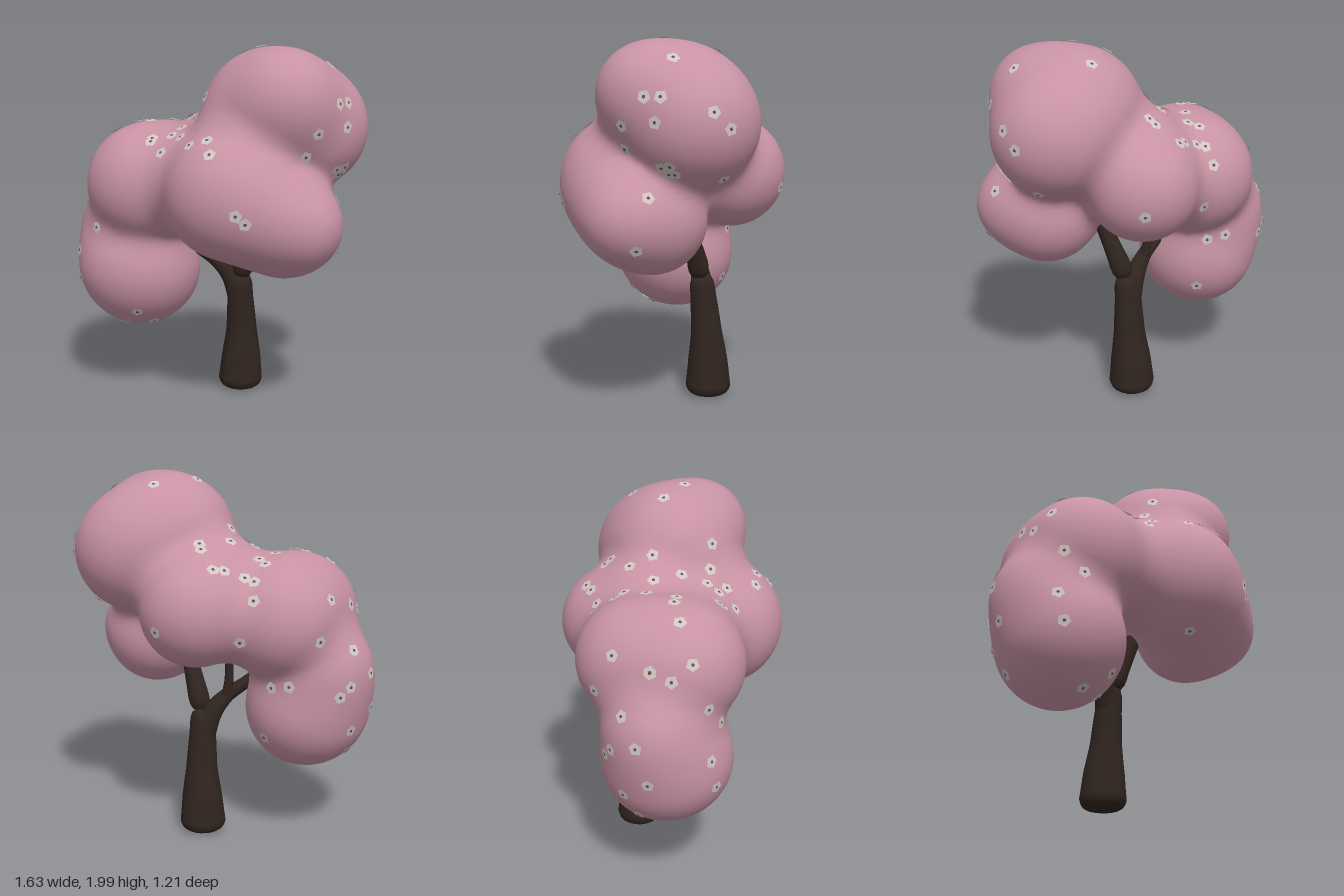
import * as THREE from 'three';
import { mergeGeometries } from 'three/addons/utils/BufferGeometryUtils.js';

// Foliage blobs: x, y, z, radius
const BLOBS = [
  [0.27, 1.61, -0.11, 0.365], [0.365, 1.555, -0.27, 0.335], [0.46, 1.71, -0.04, 0.245], // crown
  [0.28, 1.23, 0.175, 0.355], [0.43, 1.065, -0.055, 0.29], [0.605, 1.08, 0.0, 0.21],    // front left
  [0.45, 1.15, 0.12, 0.25], [0.22, 1.46, 0.04, 0.24],                                   // left fillers
  [-0.32, 1.22, 0.275, 0.335], [-0.38, 1.22, 0.06, 0.325],                              // front right
  [-0.04, 1.26, 0.16, 0.285], [-0.06, 1.4, -0.08, 0.25],                                // middle fillers
  [-0.08, 1.27, -0.265, 0.3],                                                           // back
  [-0.43, 0.75, 0.295, 0.31], [-0.43, 0.71, 0.22, 0.31], [-0.535, 0.94, 0.255, 0.265],  // low right
];
const BLEND = 0.12;

// Smoothly blended distance to all blobs
function field(x, y, z) {
  let d = 10;
  for (const [bx, by, bz, r] of BLOBS) {
    const s = Math.hypot(x - bx, y - by, z - bz) - r;
    const h = Math.max(BLEND - Math.abs(d - s), 0) / BLEND;
    d = Math.min(d, s) - h * h * BLEND / 4;
  }
  return d;
}

function normalAt({ x, y, z }) {
  const e = 0.004;
  return new THREE.Vector3(
    field(x + e, y, z) - field(x - e, y, z),
    field(x, y + e, z) - field(x, y - e, z),
    field(x, y, z + e) - field(x, y, z - e)).normalize();
}

// Skin the blended field with one vertex per crossed grid cell
function foliageGeometry() {
  const step = 0.03, min = [-0.96, 0.27, -0.78], n = [64, 62, 52];
  const stride = [1, n[0], n[0] * n[1]];
  const values = new Float32Array(n[0] * n[1] * n[2]);
  const at = (i, j, k) => i + j * stride[1] + k * stride[2];
  const eachCell = (from, fn) => {
    for (let k = from; k < n[2] - 1; k++)
      for (let j = from; j < n[1] - 1; j++)
        for (let i = from; i < n[0] - 1; i++) fn(i, j, k, at(i, j, k));
  };
  for (let k = 0; k < n[2]; k++)
    for (let j = 0; j < n[1]; j++)
      for (let i = 0; i < n[0]; i++)
        values[at(i, j, k)] = field(min[0] + i * step, min[1] + j * step, min[2] + k * step);

  const cellVertex = new Map(), positions = [], normals = [], indices = [];
  eachCell(0, (i, j, k, id) => {
    const sum = new THREE.Vector3();
    let count = 0;
    for (let c = 0; c < 8; c++) {
      const corner = [c & 1, (c >> 1) & 1, c >> 2];
      const a = values[id + at(...corner)];
      for (let axis = 0; axis < 3; axis++) {
        if (corner[axis]) continue;
        const b = values[id + at(...corner) + stride[axis]];
        if ((a < 0) === (b < 0)) continue;
        const p = corner.slice();
        p[axis] = a / (a - b);
        sum.add(new THREE.Vector3(...p));
        count++;
      }
    }
    if (!count) return;
    const p = sum.divideScalar(count).add(new THREE.Vector3(i, j, k))
      .multiplyScalar(step).add(new THREE.Vector3(...min));
    for (let s = 0; s < 2; s++) p.addScaledVector(normalAt(p), -field(p.x, p.y, p.z));
    cellVertex.set(id, positions.length / 3);
    positions.push(p.x, p.y, p.z);
    normals.push(...normalAt(p).toArray());
  });
  eachCell(1, (i, j, k, id) => {
    for (let axis = 0; axis < 3; axis++) {
      const inside = values[id] < 0;
      if (inside === values[id + stride[axis]] < 0) continue;
      const u = stride[(axis + 1) % 3], v = stride[(axis + 2) % 3];
      const q = [id - u - v, id - v, id, id - u].map((c) => cellVertex.get(c));
      if (!inside) q.reverse();
      indices.push(q[0], q[1], q[2], q[0], q[2], q[3]);
    }
  });
  const geometry = new THREE.BufferGeometry();
  geometry.setAttribute('position', new THREE.Float32BufferAttribute(positions, 3));
  geometry.setAttribute('normal', new THREE.Float32BufferAttribute(normals, 3));
  geometry.setIndex(indices);
  return geometry;
}

// Rounded tapering limb; each point is x, y, z, radius
function limb(name, points, material) {
  const curve = new THREE.CatmullRomCurve3(points.map((p) => new THREE.Vector3(...p)), false, 'centripetal');
  const rings = 64, sides = 20;
  const geometry = new THREE.TubeGeometry(curve, rings, 1, sides);
  const pos = geometry.attributes.position, v = new THREE.Vector3();
  for (let i = 0; i <= rings; i++) {
    const t = curve.getUtoTmapping(i / rings) * (points.length - 1);
    const a = Math.min(Math.floor(t), points.length - 2);
    const r = THREE.MathUtils.lerp(points[a][3], points[a + 1][3], t - a);
    const centre = curve.getPointAt(i / rings);
    for (let j = 0; j <= sides; j++) {
      const id = i * (sides + 1) + j;
      v.fromBufferAttribute(pos, id).sub(centre).multiplyScalar(r).add(centre);
      pos.setXYZ(id, v.x, v.y, v.z);
    }
  }
  geometry.computeVertexNormals();
  const mesh = new THREE.Mesh(geometry, material);
  mesh.name = name;
  return mesh;
}

// Blossom spots as pairs of coordinates, dropped onto the foliage from each side
const SPOTS = {
  front: [0.12, 1.72, 0.06, 1.6, -0.02, 1.51, 0.06, 1.51, 0, 1.43, 0.24, 1.49, 0.33, 1.52, 0.4, 1.46,
    -0.12, 1.49, -0.56, 1.34, -0.63, 1.26, -0.51, 1.1, -0.41, 0.99, -0.55, 0.84, -0.52, 0.69,
    0.57, 1.18, 0.6, 1.14, 0.28, 0.9, -0.36, 0.44, -0.22, 0.53],
  top: [0.18, -0.31, 0.56, -0.25, 0.1, -0.07, 0.27, -0.04, -0.26, -0.33, -0.29, -0.28, -0.14, -0.29,
    -0.11, -0.27, -0.36, -0.2, -0.41, -0.18, -0.45, -0.23, -0.18, -0.11, -0.39, -0.07, -0.33, -0.05,
    -0.33, 0.08, -0.21, 0.05, -0.1, -0.02, -0.08, 0.14, -0.02, 0.26, -0.38, 0.27,
    -0.32, 0.25, -0.48, 0.36, -0.66, 0.3, -0.11, 0.4],
  left: [-0.17, 1.7, -0.25, 1.7, -0.23, 1.58, -0.04, 1.56, -0.02, 1.44, -0.49, 1.63,
    -0.55, 1.55, -0.23, 1.36, -0.28, 1.37, -0.26, 1.33, -0.29, 1.33, -0.18, 1.21,
    -0.14, 0.96, 0.3, 0.45],
  right: [0.1, 1.35, 0.3, 1.3, 0, 1.15, 0.2, 1.08, 0.3, 0.95, 0.15, 0.9, 0.35, 0.75, 0.2, 0.65,
    0.1, 0.85, 0.25, 0.52],
  back: [-0.08, 1.2, 0.45, 1.3, -0.55, 0.9, -0.45, 0.88, -0.4, 0.6, -0.4, 1.15],
};
const RAYS = {
  front: (a, b) => [a, b, 2, 0, 0, -1],
  top: (a, b) => [a, 3, b, 0, -1, 0],
  left: (a, b) => [2, b, a, -1, 0, 0],
  right: (a, b) => [-2, b, a, 1, 0, 0],
  back: (a, b) => [a, b, -2, 0, 0, 1],
};

function blossoms() {
  const petals = [], hearts = [], forward = new THREE.Vector3(0, 0, 1);
  for (const side in SPOTS) {
    for (let i = 0; i < SPOTS[side].length; i += 2) {
      const [x, y, z, dx, dy, dz] = RAYS[side](SPOTS[side][i], SPOTS[side][i + 1]);
      const p = new THREE.Vector3(x, y, z), dir = new THREE.Vector3(dx, dy, dz);
      for (let s = 0; s < 120; s++) p.addScaledVector(dir, field(p.x, p.y, p.z) * 0.8);
      if (Math.abs(field(p.x, p.y, p.z)) > 0.01) continue;
      const normal = normalAt(p);
      const turn = new THREE.Quaternion().setFromUnitVectors(forward, normal);
      const place = (radius, sides, lift) => new THREE.CircleGeometry(radius, sides)
        .rotateZ(i * 1.3).applyQuaternion(turn)
        .translate(...p.clone().addScaledVector(normal, lift).toArray());
      petals.push(place(0.035, 5, 0.008));
      hearts.push(place(0.009, 6, 0.011));
    }
  }
  const build = (name, parts, color) => {
    const mesh = new THREE.Mesh(mergeGeometries(parts),
      new THREE.MeshStandardMaterial({ color, side: THREE.DoubleSide }));
    mesh.name = name;
    return mesh;
  };
  const group = new THREE.Group();
  group.name = 'blossoms';
  group.add(build('petals', petals, 0xd0c6c6), build('blossomHearts', hearts, 0x6b4a3c));
  return group;
}

export function createModel() {
  const tree = new THREE.Group();
  tree.name = 'blossomTree';
  const bark = new THREE.MeshStandardMaterial({ color: 0x30241f });

  // Trunk and branches
  tree.add(
    limb('trunk', [[-0.03, 0.0, -0.165, 0.001], [-0.03, 0.008, -0.165, 0.09], [-0.03, 0.025, -0.165, 0.115],
      [-0.03, 0.06, -0.165, 0.127], [-0.025, 0.2, -0.165, 0.112], [-0.017, 0.36, -0.16, 0.088],
      [-0.01, 0.55, -0.145, 0.074], [-0.003, 0.64, -0.138, 0.068], [0.002, 0.68, -0.135, 0.054],
      [0.005, 0.7, -0.135, 0.001]], bark),
    limb('leftBranch', [[0.015, 0.685, -0.13, 0.001], [0.016, 0.69, -0.13, 0.04], [0.022, 0.72, -0.13, 0.056],
      [0.035, 0.76, -0.13, 0.058], [0.09, 0.9, -0.12, 0.047], [0.15, 1.05, -0.11, 0.04]], bark),
    limb('rightBranch', [[-0.015, 0.55, -0.145, 0.068], [-0.05, 0.68, -0.105, 0.055], [-0.1, 0.77, -0.04, 0.04],
      [-0.17, 0.84, 0.03, 0.034], [-0.27, 0.95, 0.13, 0.03]], bark),
    limb('twig', [[-0.1, 0.74, -0.055, 0.03], [-0.12, 0.86, -0.05, 0.025], [-0.13, 1.08, -0.06, 0.02]], bark));

  // Foliage
  const foliage = new THREE.Mesh(foliageGeometry(), new THREE.MeshStandardMaterial({ color: 0xc893a4 }));
  foliage.name = 'foliage';
  tree.add(foliage, blossoms());
  return tree;
}
